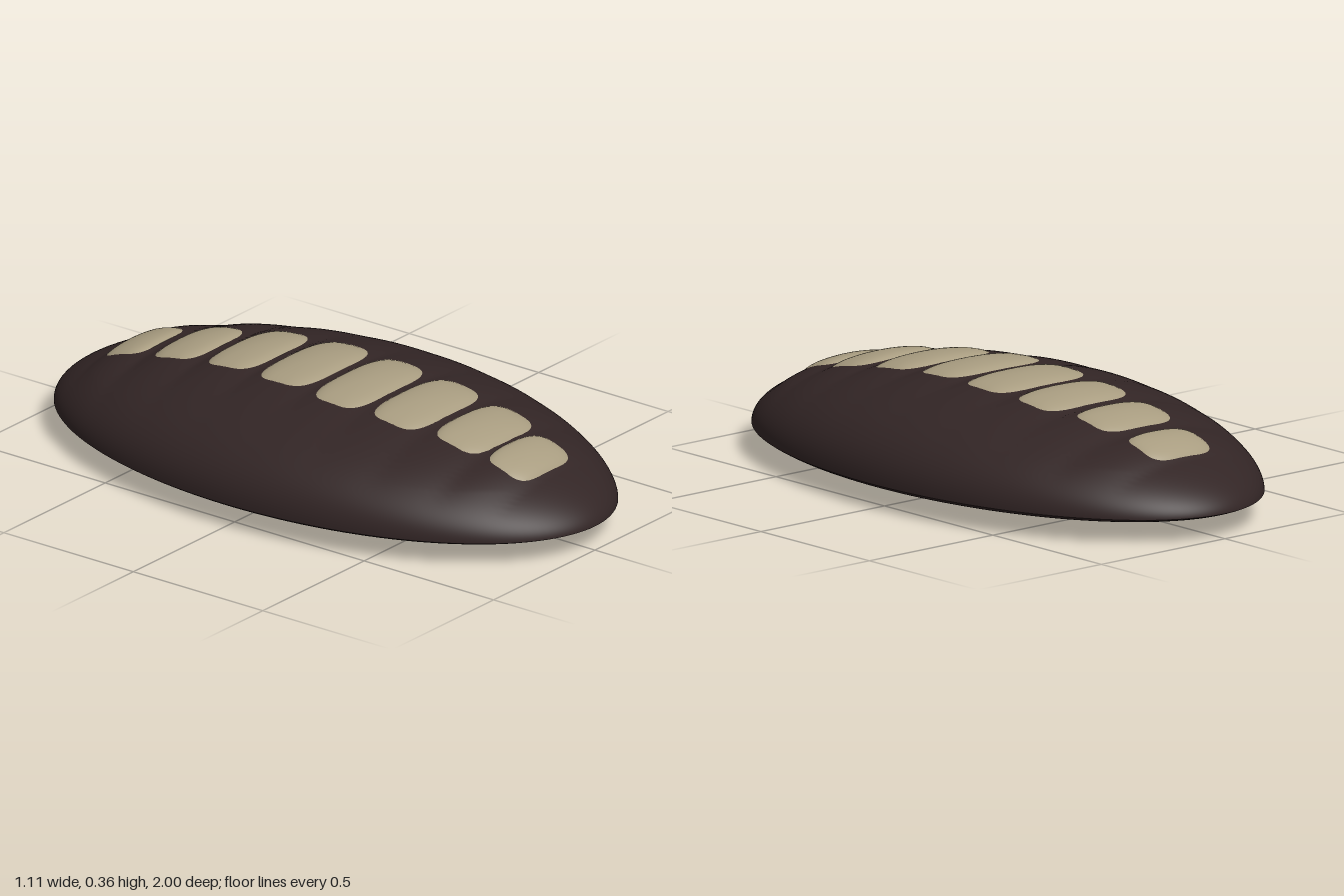
import * as THREE from 'three';
import { mergeVertices } from 'three/addons/utils/BufferGeometryUtils.js';

const HALF_X = 0.555, HALF_Z = 1, RIM_Y = 0.078;

// topping pads from back to front: centre x, centre z, half width, half depth
const PADS = [
  [-0.012, -0.73, 0.13, 0.082],
  [-0.01, -0.522, 0.152, 0.092],
  [0.008, -0.306, 0.18, 0.098],
  [0.003, -0.085, 0.195, 0.105],
  [-0.012, 0.138, 0.2, 0.1],
  [-0.004, 0.352, 0.192, 0.1],
  [0.01, 0.565, 0.17, 0.095],
  [0, 0.745, 0.138, 0.082],
];

// signed power, used for rounded-rectangle outlines
const rounded = (v, n) => Math.sign(v) * Math.pow(Math.abs(v), 2 / n);

// disc-like surface: point(r, a) is evaluated on rings from the centre out
function polarSurface(name, material, rings, segments, down, point) {
  const pos = [], index = [];
  for (let i = 0; i <= rings; i++) {
    const r = Math.sin((i / rings) * Math.PI / 2);
    for (let j = 0; j < segments; j++) {
      pos.push(...point(r, (j / segments) * Math.PI * 2));
    }
  }
  for (let i = 0; i < rings; i++) {
    for (let j = 0; j < segments; j++) {
      const k = (j + 1) % segments;
      const a = i * segments + j, b = i * segments + k;
      const c = a + segments, d = b + segments;
      if (down) {
        if (i > 0) index.push(a, c, b);
        index.push(b, c, d);
      } else {
        if (i > 0) index.push(a, b, c);
        index.push(b, d, c);
      }
    }
  }
  let geometry = new THREE.BufferGeometry();
  geometry.setAttribute('position', new THREE.Float32BufferAttribute(pos, 3));
  geometry.setIndex(index);
  geometry = mergeVertices(geometry, 1e-6);
  geometry.computeVertexNormals();
  const mesh = new THREE.Mesh(geometry, material);
  mesh.name = name;
  return mesh;
}

// height of the domed top, with soft cross ridges under the pads
function domeHeight(x, z) {
  const u = x / HALF_X, v = z / HALF_Z;
  const r2 = Math.min(1, u * u + v * v);
  const side = r2 > 1e-9 ? (u * u) / (u * u + v * v) : 0.5;
  const full = Math.pow(1 - Math.pow(r2, 1.2), 0.45);
  const slim = Math.pow(1 - r2, 0.58);
  let y = RIM_Y + 0.257 * (full * side + slim * (1 - side));
  for (const [, cz, , hd] of PADS) {
    const d = (z - cz) / (hd * 1.1);
    y += 0.016 * Math.max(0, 1 - d * d) * Math.exp(-Math.pow(x / 0.27, 2)) * Math.min(1, (1 - r2) * 4);
  }
  return y;
}

export function createModel() {
  const model = new THREE.Group();
  model.name = 'loaf';
  const crust = new THREE.MeshStandardMaterial({ color: 0x322525 });
  crust.name = 'dark brown';
  const cream = new THREE.MeshStandardMaterial({ color: 0xa89c80 });
  cream.name = 'beige';
  const brown = new THREE.MeshStandardMaterial({ color: 0x583922 });
  brown.name = 'brown';

  // domed body
  model.add(polarSurface('bodyTop', crust, 90, 144, false, (r, a) => {
    const x = HALF_X * r * Math.cos(a), z = HALF_Z * r * Math.sin(a);
    return [x, r > 0.999999 ? RIM_Y : domeHeight(x, z), z];
  }));

  // shallow underside with a turned-up rim
  model.add(polarSurface('bodyUnderside', crust, 24, 144, true, (r, a) => [
    HALF_X * r * Math.cos(a),
    0.045 + 0.008 * r * r + (RIM_Y - 0.053) * Math.pow(r, 18),
    HALF_Z * r * Math.sin(a),
  ]));

  // rounded-rectangle base with bevelled sides
  model.add(polarSurface('base', brown, 28, 96, true, (r, a) => {
    const x = 0.32 * r * rounded(Math.cos(a), 3.5);
    const z = 0.8 * r * rounded(Math.sin(a), 3.5);
    const start = 0.64 + 0.2 * Math.sin(a) ** 2;
    const bevel = Math.max(0, (r - start) / (1 - start));
    const sag = 0.018 * (z / 0.8) ** 2;
    return [x, sag + (0.054 - sag) * bevel, z];
  }));

  // row of puffed pads along the crest
  const pads = new THREE.Group();
  pads.name = 'toppingPads';
  PADS.forEach(([cx, cz, hw, hd], i) => {
    pads.add(polarSurface('pad' + (i + 1), cream, 14, 48, false, (r, a) => {
      const x = cx + hw * r * rounded(Math.cos(a), 3.6);
      const z = cz + hd * r * rounded(Math.sin(a), 3.6);
      return [x, domeHeight(x, z) - 0.003 + 0.011 * (1 - Math.pow(r, 8)), z];
    }));
  });
  model.add(pads);
  return model;
}
